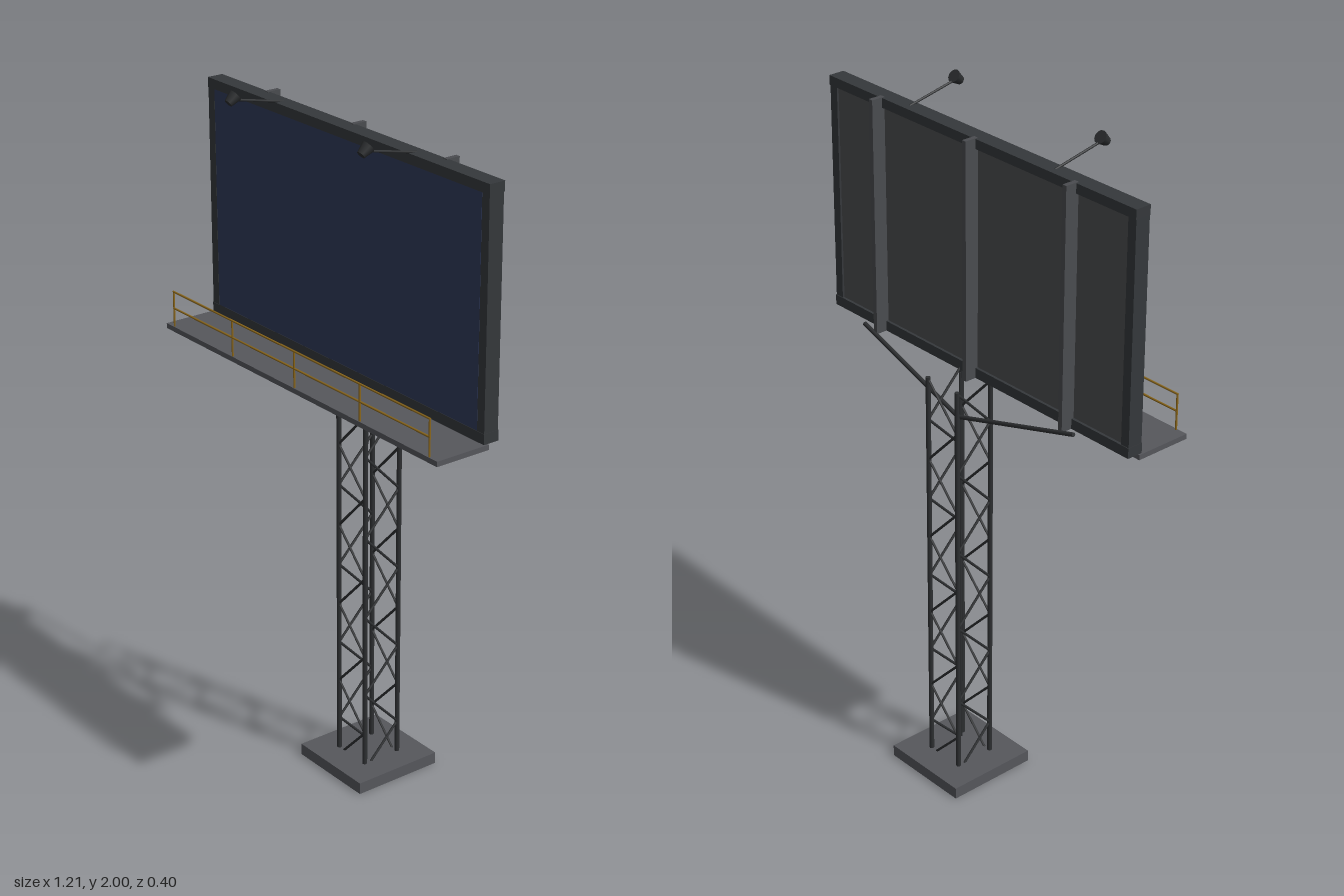
import * as THREE from 'three';

const mat = (color) => new THREE.MeshStandardMaterial({ color });
const M = {
  steel: mat(0x2e3032), frame: mat(0x35383b), rib: mat(0x4a4c50), slab: mat(0x56575c),
  back: mat(0x4c4d50), screen: mat(0x2f3959), rail: mat(0x8f6a1c), lamp: mat(0x2b2d2f),
};

export function createModel() {
  const root = new THREE.Group();
  root.name = 'billboard';

  const add = (name, geometry, material, parent = root) => {
    const mesh = new THREE.Mesh(geometry, material);
    mesh.name = name;
    parent.add(mesh);
    return mesh;
  };
  // Box given by its extents on each axis
  const box = (name, [x0, x1], [y0, y1], [z0, z1], material, parent) => {
    const g = new THREE.BoxGeometry(x1 - x0, y1 - y0, z1 - z0);
    g.translate((x0 + x1) / 2, (y0 + y1) / 2, (z0 + z1) / 2);
    return add(name, g, material, parent);
  };
  // Round bar between two points
  const bar = (name, a, b, r, material, parent, sides = 8) => {
    const p = new THREE.Vector3(...a), q = new THREE.Vector3(...b);
    const d = q.clone().sub(p);
    const m = add(name, new THREE.CylinderGeometry(r, r, d.length(), sides), material, parent);
    m.position.copy(p).add(q).multiplyScalar(0.5);
    m.quaternion.setFromUnitVectors(new THREE.Vector3(0, 1, 0), d.normalize());
    return m;
  };
  const group = (name) => {
    const g = new THREE.Group();
    g.name = name;
    root.add(g);
    return g;
  };

  // Footing
  box('footing', [-0.14, 0.14], [0, 0.035], [-0.2, 0.08], M.slab);

  // Lattice tower: four posts with a zigzag of braces on every face
  const tower = group('tower');
  const corners = [[-0.06, 0], [0.06, 0], [0.06, -0.12], [-0.06, -0.12]];
  const bays = 10, y0 = 0.01, bay = 0.125;
  corners.forEach(([x, z], i) => {
    bar('towerPost', [x, 0.02, z], [x, 1.265, z], 0.007, M.steel, tower);
    const next = corners[(i + 1) % 4];
    for (let k = 0; k < bays; k++) {
      const [a, b] = k % 2 ? [next, [x, z]] : [[x, z], next];
      bar('towerBrace', [a[0], y0 + k * bay, a[1]], [b[0], y0 + (k + 1) * bay, b[1]],
        0.0038, M.steel, tower, 6);
    }
  });
  bar('cableConduit', [0.045, 0.03, -0.018], [0.045, 1.25, -0.018], 0.003, M.steel, tower, 6);

  // Display panel and its border
  const panel = group('panel');
  box('backing', [-0.575, 0.575], [1.275, 1.925], [0.0, 0.03], M.back, panel);
  box('screen', [-0.57, 0.57], [1.28, 1.92], [0.03, 0.04], M.screen, panel);
  for (const [a, b] of [[1.25, 1.28], [1.918, 1.946]])
    box('frameRail', [-0.6, 0.6], [a, b], [-0.008, 0.041], M.frame, panel);
  for (const s of [-1, 1])
    box('frameStile', [s * 0.585 - 0.014, s * 0.585 + 0.014], [1.28, 1.918], [-0.006, 0.04], M.frame, panel);

  // Rear stiffeners and the V-shaped spreader under them
  const support = group('rearSupport');
  for (const x of [-0.38, 0, 0.38])
    box('rearRib', [x - 0.007, x + 0.007], [1.25, 1.948], [-0.042, 0.0], M.rib, support);
  for (const s of [-1, 1])
    bar('spreaderBar', [0, 1.147, -0.064], [s * 0.43, 1.262, -0.04], 0.0065, M.steel, support);

  // Service walkway with railing
  const walkway = group('walkway');
  box('walkwayDeck', [-0.605, 0.605], [1.235, 1.25], [0.028, 0.2], M.slab, walkway);
  for (const y of [1.305, 1.355])
    bar('railingBar', [-0.572, y, 0.196], [0.572, y, 0.196], 0.003, M.rail, walkway, 6);
  for (let i = -2; i <= 2; i++)
    bar('railingPost', [i * 0.285, 1.245, 0.196], [i * 0.285, 1.356, 0.196], 0.003, M.rail, walkway, 6);

  // Two floodlights on arms over the top edge
  for (const s of [-1, 1]) {
    const light = group(s > 0 ? 'leftFloodlight' : 'rightFloodlight');
    const x = s * 0.285;
    bar('lampArm', [x, 1.944, 0.015], [x, 1.978, 0.178], 0.0035, M.steel, light);
    const head = add('lampHead', new THREE.CylinderGeometry(0.019, 0.012, 0.03, 12), M.lamp, light);
    head.position.set(x, 1.98, 0.182);
    head.rotation.x = -0.9;
  }

  return root;
}
